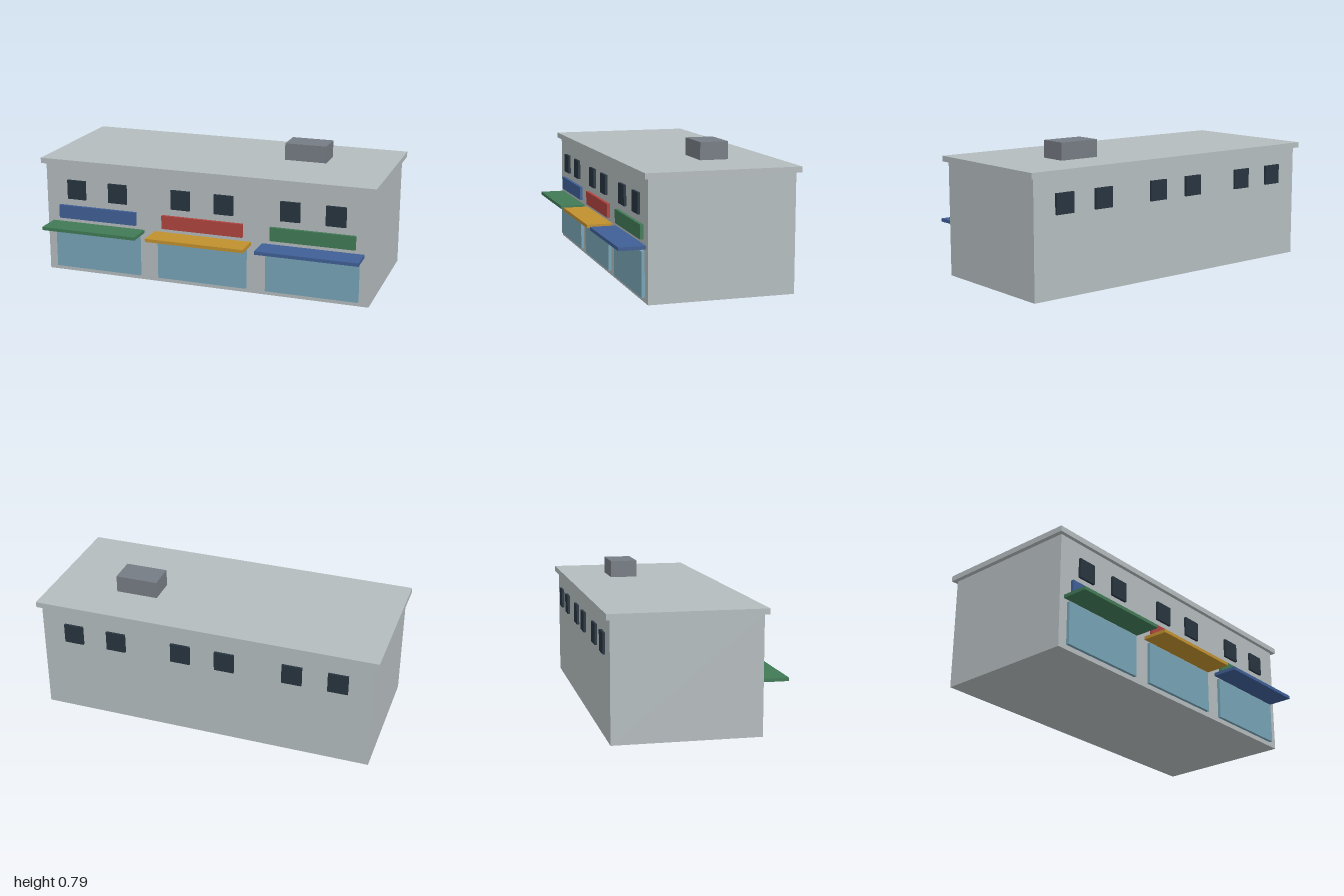
import * as THREE from 'three';

const paint = (name, color) => {
  const m = new THREE.MeshStandardMaterial({ color });
  m.name = name;
  return m;
};

export function createModel() {
  const building = new THREE.Group();
  building.name = 'shopRow';

  const wall = paint('wallGrey', 0xb4bcbe);
  const metal = paint('ventGrey', 0x767c84);
  const glass = paint('shopGlass', 0x76a4b6);
  const dark = paint('windowDark', 0x27343f);
  const blue = paint('blue', 0x3f5f96);
  const red = paint('red', 0xb04440);
  const green = paint('green', 0x417a56);
  const yellow = paint('yellow', 0xc0902e);

  // Box given by its lower and upper limits on each axis
  const block = (name, mat, [x0, x1], [y0, y1], [z0, z1]) => {
    const mesh = new THREE.Mesh(new THREE.BoxGeometry(x1 - x0, y1 - y0, z1 - z0), mat);
    mesh.position.set((x0 + x1) / 2, (y0 + y1) / 2, (z0 + z1) / 2);
    mesh.name = name;
    building.add(mesh);
  };
  const span = (centre, width) => [centre - width / 2, centre + width / 2];

  const front = 0.345, back = -0.468;

  // Main volume, overhanging roof slab and rooftop vent
  block('walls', wall, [-0.975, 0.975], [0, 0.655], [back, front]);
  block('roofSlab', wall, [-1, 1], [0.655, 0.687], [-0.49, 0.367]);
  block('roofVent', metal, span(0.4875, 0.246), [0.687, 0.786], [-0.224, -0.063]);

  // Three shop units
  const shops = [
    { x: -0.65, sign: blue, awning: green },
    { x: 0, sign: red, awning: yellow },
    { x: 0.65, sign: green, awning: blue },
  ];
  for (const { x, sign, awning } of shops) {
    block('shopWindow', glass, span(x, 0.536), [0.027, 0.271], [front, 0.363]);
    block('awning', awning, span(x, 0.585), [0.286, 0.305], [front, 0.493]);
    block('signBoard', sign, span(x, 0.487), [0.329, 0.408], [front, 0.363]);

    // Upper windows, front and back
    for (const side of [-1, 1]) {
      const wx = span(x + side * 0.13, 0.114);
      block('frontWindow', dark, wx, [0.45, 0.564], [front, front + 0.014]);
      block('backWindow', dark, wx, [0.45, 0.564], [back - 0.014, back]);
    }
  }
  return building;
}
